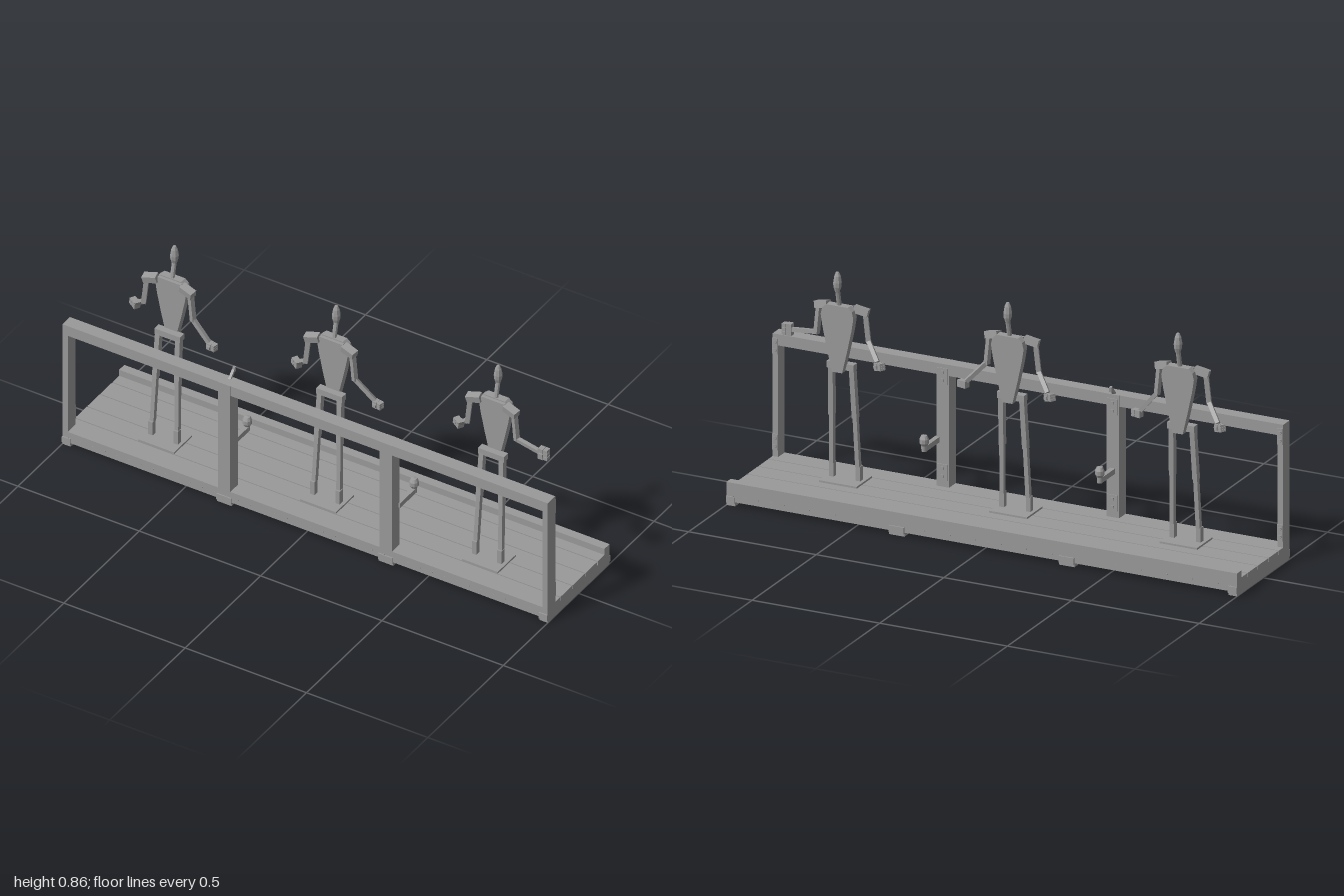
import * as THREE from 'three';

const grey = new THREE.MeshStandardMaterial({ color: 0x999999, flatShading: true });
grey.name = 'grey';
const V = (x, y, z) => new THREE.Vector3(x, y, z);

function add(parent, name, geometry) {
  const mesh = new THREE.Mesh(geometry, grey);
  mesh.name = name;
  parent.add(mesh);
  return mesh;
}

// box given by its minimum and maximum on each axis
function span(parent, name, x0, x1, y0, y1, z0, z1) {
  const mesh = add(parent, name, new THREE.BoxGeometry(x1 - x0, y1 - y0, z1 - z0));
  mesh.position.set((x0 + x1) / 2, (y0 + y1) / 2, (z0 + z1) / 2);
  return mesh;
}

// square bar running from a to b, w wide and d deep
function bar(parent, name, a, b, w, d = w) {
  const dir = b.clone().sub(a);
  const mesh = add(parent, name, new THREE.BoxGeometry(w, dir.length(), d));
  mesh.position.copy(a).add(b).multiplyScalar(0.5);
  mesh.quaternion.setFromUnitVectors(V(0, 1, 0), dir.normalize());
  return mesh;
}

function rod(parent, name, a, b, r, sides = 10) {
  const dir = b.clone().sub(a);
  const mesh = add(parent, name, new THREE.CylinderGeometry(r, r, dir.length(), sides));
  mesh.position.copy(a).add(b).multiplyScalar(0.5);
  mesh.quaternion.setFromUnitVectors(V(0, 1, 0), dir.normalize());
  return mesh;
}

function buildPlatform() {
  const g = new THREE.Group();
  g.name = 'platform';
  // deck boards with narrow gaps
  const gaps = [0.205, 0.122, 0.042, -0.043, -0.125, -0.205];
  for (let i = 0; i < 5; i++)
    span(g, 'deckBoard', -1, 1, 0.045, 0.06, gaps[i + 1] + (i < 4 ? 0.002 : 0), gaps[i] - (i ? 0.002 : 0));
  // long beams and raised rear kerb
  span(g, 'frontBeam', -1, 1, 0.015, 0.045, 0.172, 0.205);
  span(g, 'rearBeam', -1, 1, 0.015, 0.045, -0.205, -0.172);
  span(g, 'rearKerb', -1, 1, 0.06, 0.086, -0.205, -0.171);
  // cross joists with end straps
  for (const [x, w] of [[-0.983, 0.034], [-0.333, 0.06], [0.333, 0.06], [0.983, 0.034]]) {
    span(g, 'joist', x - w / 2, x + w / 2, 0, 0.045, -0.205, 0.205);
    for (const s of [-1, 1]) {
      const strap = span(g, 'strap', x - w / 2, x + w / 2, 0.01, 0.035, -0.0025, 0.0025);
      strap.position.z = s * 0.2075;
    }
  }
  // row of nail heads along both long beams
  for (let i = 0; i < 40; i++)
    for (const s of [-1, 1])
      span(g, 'nail', -0.977 + i * 0.05, -0.973 + i * 0.05, 0.034, 0.038, s * 0.2055 - 0.001, s * 0.2055 + 0.001);
  return g;
}

function buildCounter() {
  const g = new THREE.Group();
  g.name = 'counterFrame';
  span(g, 'topRail', -1, 1, 0.478, 0.52, 0.155, 0.205);
  for (const s of [-1, 1]) {
    span(g, 'endPost', s * 0.989 - 0.011, s * 0.989 + 0.011, 0.06, 0.478, 0.155, 0.205);
    span(g, 'middlePost', s * 0.333 - 0.025, s * 0.333 + 0.025, 0.06, 0.52, 0.154, 0.206);
    // fixing plates and bolts on the inner faces
    for (const [x, w] of [[s * 0.333, 0.042], [s * 0.989, 0.022]])
      for (const y of [0.115, 0.475]) {
        span(g, 'fixingPlate', x - w / 2, x + w / 2, y - 0.03, y + 0.03, 0.151, 0.155);
        for (const dy of [-0.015, 0.015])
          rod(g, 'bolt', V(x, y + dy, 0.146), V(x, y + dy, 0.152), 0.007, 8);
      }
    // peg with a rounded upright end
    const x = s < 0 ? -0.333 : 0.355;
    bar(g, 'pegArm', V(x, 0.234, 0.16), V(x, 0.234, 0.05), 0.018, 0.02);
    const knob = add(g, 'pegKnob', new THREE.LatheGeometry(
      [[0, 0.224], [0.01, 0.224], [0.011, 0.245], [0.017, 0.255], [0.017, 0.27], [0.011, 0.283], [0, 0.285]]
        .map(p => new THREE.Vector2(...p)), 10));
    knob.position.set(x, 0, 0.053);
  }
  // slanted hook on the rail
  bar(g, 'hookStem', V(-0.333, 0.515, 0.17), V(-0.333, 0.543, 0.143), 0.01);
  bar(g, 'hookTip', V(-0.333, 0.535, 0.141), V(-0.333, 0.554, 0.138), 0.01);
  return g;
}

// blocky hand: palm, knuckles and thumb
function buildHand(position, upright) {
  const g = new THREE.Group();
  g.name = 'hand';
  const f = upright ? 1 : 0.6;
  span(g, 'palm', -0.012, 0.008, -0.022 * f, 0.022 * f, -0.012, 0.012);
  for (let i = 0; i < 3; i++) {
    const y = (i - 1) * 0.0145 * f;
    span(g, 'finger', 0.008, 0.024, y - 0.0065 * f, y + 0.0065 * f, -0.013, 0.01);
  }
  span(g, 'thumb', -0.006, 0.01, -0.006, 0.006, 0.012, 0.018);
  g.position.copy(position);
  return g;
}

function buildFigure(x, leftHand) {
  const g = new THREE.Group();
  g.name = 'figure';
  g.position.x = x;
  span(g, 'footPlate', -0.074, 0.074, 0.06, 0.067, 0, 0.12);
  // legs
  for (const s of [-1, 1]) {
    span(g, 'ankle', s * 0.052 - 0.009, s * 0.052 + 0.009, 0.067, 0.122, 0.053, 0.074);
    bar(g, 'shin', V(s * 0.051, 0.12, 0.059), V(s * 0.046, 0.31, 0.048), 0.016, 0.018);
    bar(g, 'thigh', V(s * 0.046, 0.305, 0.048), V(s * 0.041, 0.5, 0.034), 0.019, 0.023);
  }
  span(g, 'hips', -0.053, 0.053, 0.488, 0.512, 0.018, 0.046);
  // shield-shaped torso
  const outline = [[0.02, 0.485], [0.04, 0.57], [0.057, 0.65], [0.064, 0.695], [0.058, 0.72], [0.042, 0.734]];
  const points = [...outline, ...outline.map(([a, b]) => [-a, b]).reverse()];
  const torso = add(g, 'torso', new THREE.ExtrudeGeometry(
    new THREE.Shape(points.map(p => new THREE.Vector2(...p))), { depth: 0.028, bevelEnabled: false }));
  torso.position.z = -0.006;
  span(g, 'collar', -0.048, 0.048, 0.704, 0.73, 0.018, 0.034);
  // neck and head
  rod(g, 'neck', V(0, 0.72, 0.015), V(0, 0.795, -0.002), 0.009, 8);
  const head = add(g, 'head', new THREE.LatheGeometry(
    [[0, 0.784], [0.008, 0.785], [0.015, 0.806], [0.016, 0.822], [0.012, 0.846], [0.006, 0.86], [0, 0.861]]
      .map(p => new THREE.Vector2(...p)), 8));
  head.position.z = -0.002;
  // arms
  for (const s of [-1, 1]) {
    const shoulder = V(s * 0.09, 0.712, 0.036);
    const elbow = V(s * 0.102, 0.6, 0.038);
    const wrist = s < 0 ? V(-0.158, 0.55, -0.005) : V(...leftHand);
    bar(g, 'shoulder', V(s * 0.05, 0.722, 0.03), V(s * 0.102, 0.71, 0.038), 0.026, 0.03);
    bar(g, 'upperArm', shoulder, elbow, 0.017);
    bar(g, 'forearm', elbow.clone().add(V(0, 0.006, 0)), wrist, 0.015);
    const raised = s > 0 && leftHand[1] > 0.57;
    const hand = buildHand(wrist.clone().add(V(s * 0.008, raised ? 0 : -0.012, s < 0 ? -0.008 : 0)), raised);
    if (s < 0) hand.rotation.set(0, Math.PI - 0.5, 0.2);
    else if (!raised) hand.rotation.y = -0.2;
    g.add(hand);
  }
  return g;
}

export function createModel() {
  const model = new THREE.Group();
  model.name = 'figuresBehindCounter';
  model.add(buildPlatform(), buildCounter());
  model.add(buildFigure(-0.667, [0.165, 0.53, 0.036]));
  model.add(buildFigure(0, [0.172, 0.53, 0.02]));
  model.add(buildFigure(0.667, [0.205, 0.594, 0.047]));
  return model;
}
